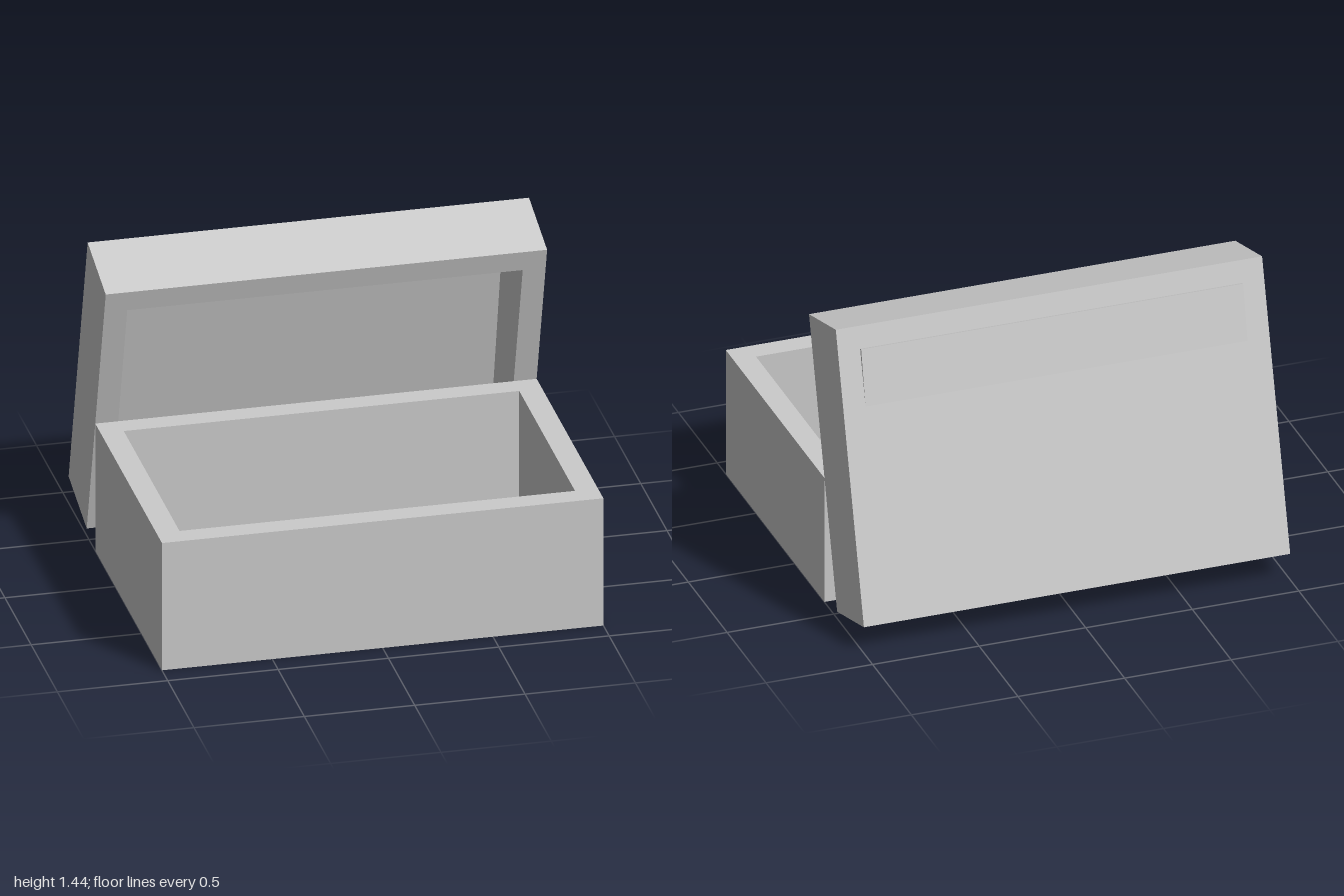
import * as THREE from 'three';

// Double sided: the lid's slanted lining slightly crosses its outer shell
const material = new THREE.MeshStandardMaterial({ color: 0xcccccc, flatShading: true, side: THREE.DoubleSide });

// Four corners, counter-clockwise seen from above; floor height may differ at back and front
const loop = (w, d, yBack, yFront = yBack) => [
  [-w / 2, yFront, d / 2], [w / 2, yFront, d / 2],
  [w / 2, yBack, -d / 2], [-w / 2, yBack, -d / 2],
];

// Hollow tray open at +y: outer walls, rim, inner walls, floor and underside
function tray(name, width, depth, height, wall, floorBack, floorFront) {
  const w = width - 2 * wall, d = depth - 2 * wall;
  const loops = [
    loop(width, depth, 0),
    loop(width, depth, height),
    loop(w, d, height),
    loop(w, d, floorBack, floorFront),
  ];
  const points = [];
  const quad = (a, b, c, e) => points.push(...a, ...b, ...c, ...a, ...c, ...e);
  for (let k = 0; k < 3; k++) {
    for (let i = 0; i < 4; i++) {
      const j = (i + 1) % 4;
      quad(loops[k][i], loops[k][j], loops[k + 1][j], loops[k + 1][i]);
    }
  }
  quad(...loops[3]);
  quad(...[...loops[0]].reverse());

  const geometry = new THREE.BufferGeometry();
  geometry.setAttribute('position', new THREE.Float32BufferAttribute(points, 3));
  geometry.computeVertexNormals();
  const mesh = new THREE.Mesh(geometry, material);
  mesh.name = name;
  return mesh;
}

export function createModel() {
  const group = new THREE.Group();
  group.name = 'openBox';

  // Base of the box
  const base = tray('base', 2, 1.27, 0.62, 0.104, 0.03, 0.03);
  base.position.z = 0.255;
  group.add(base);

  // Lid leaning behind the base, hollow side facing forward
  const lid = tray('lid', 2, 1.355, 0.358, 0.104, -0.014, 0.047);
  lid.rotation.x = THREE.MathUtils.degToRad(105.5);
  lid.position.set(0, 0.7825, -0.7075);
  group.add(lid);

  return group;
}
